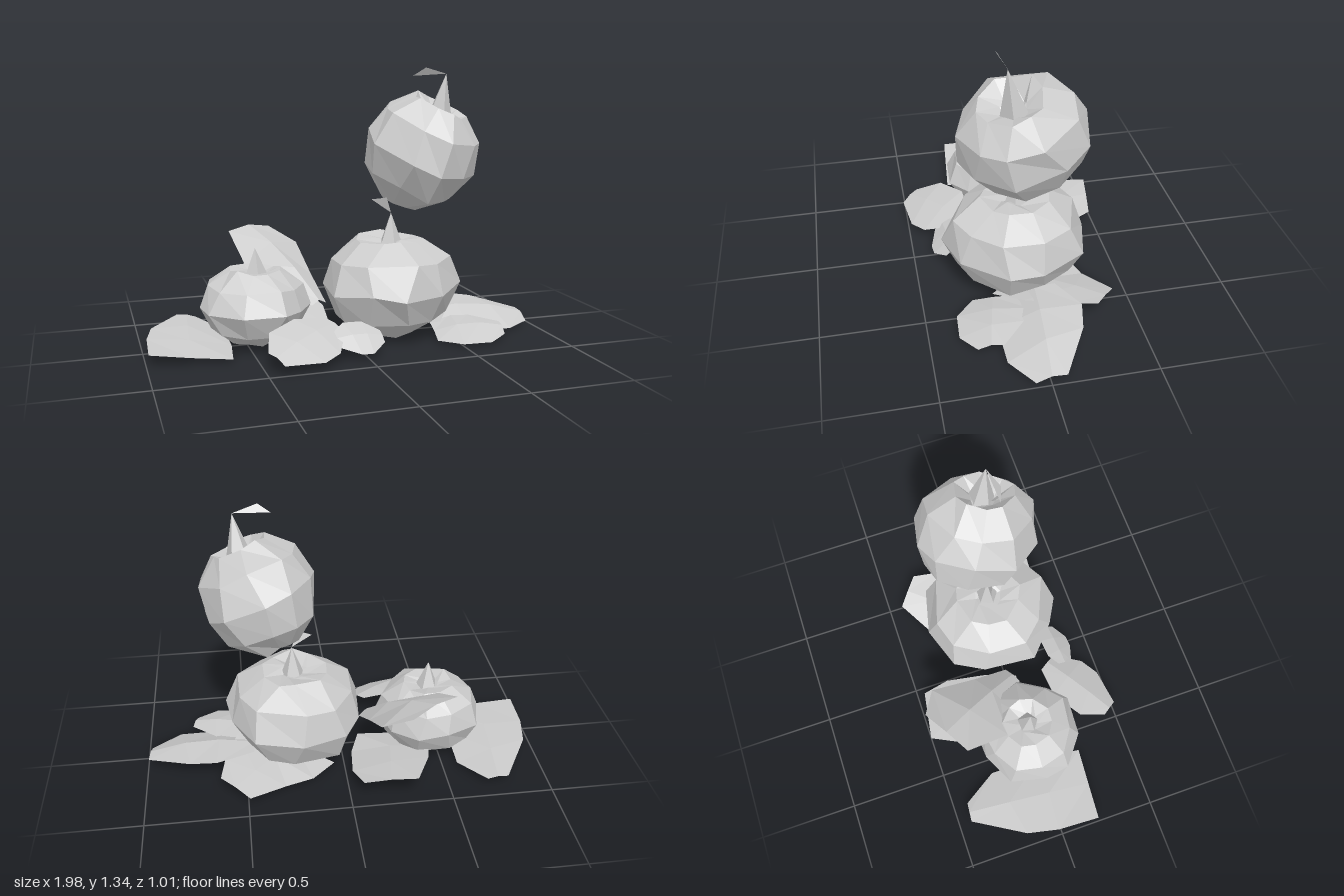
import * as THREE from 'three';

const stone = new THREE.MeshStandardMaterial({ color: 0xcccccc, flatShading: true, side: THREE.DoubleSide });
stone.name = 'pale grey';

const noise = (a, b, seed) => {
  const s = Math.sin(a * 12.99 + b * 78.23 + seed * 37.7) * 43758.55;
  return (s - Math.floor(s)) * 2 - 1;
};

function addMesh(group, name, geometry) {
  const mesh = new THREE.Mesh(geometry, stone);
  mesh.name = name;
  group.add(mesh);
  return mesh;
}

// Height and radius of the body from base to stem seat
const PROFILE = [[0, -0.96], [0.38, -0.95], [0.82, -0.58], [1.02, 0], [0.87, 0.56], [0.48, 0.94]];

// Faceted, slightly irregular lobed body; dimple is the height of the stem seat
function pumpkinBody([rx, ry, rz], dimple, seed) {
  const sides = 10;
  const profile = [...PROFILE, [0.2, dimple + 0.04], [0, dimple]];
  const geo = new THREE.LatheGeometry(profile.map(([r, y]) => new THREE.Vector2(r, y)), sides);
  const p = geo.attributes.position;
  const rows = profile.length;
  for (let k = 0; k < p.count; k++) {
    const row = k % rows, col = Math.floor(k / rows) % sides;
    const inner = row > 0 && row < rows - 1;
    const a = (col + (inner ? noise(col, row, seed) * 0.2 : 0)) / sides * Math.PI * 2;
    const r = profile[row][0] * (1 + (col % 2 ? -0.03 : 0.02) + noise(row, col, seed + 5) * 0.03);
    const y = profile[row][1] + (inner ? noise(col + 3, row, seed + 9) * 0.05 : 0);
    p.setXYZ(k, Math.sin(a) * r * rx, y * ry, Math.cos(a) * r * rz);
  }
  geo.computeVertexNormals();
  return geo;
}

function facets(points, index) {
  const geo = new THREE.BufferGeometry();
  geo.setAttribute('position', new THREE.Float32BufferAttribute(points.flat(), 3));
  geo.setIndex(index);
  geo.computeVertexNormals();
  return geo;
}

// Pointed five-sided stalk, optionally with a thin bent tip
function addStem(group, { seat, radius, tip, curl }) {
  const points = [tip], index = [];
  for (let i = 0; i < 5; i++) {
    const a = i / 5 * Math.PI * 2 + 0.3;
    points.push([seat[0] + Math.cos(a) * radius, seat[1], seat[2] + Math.sin(a) * radius]);
    index.push(0, 1 + (i + 1) % 5, 1 + i);
  }
  addMesh(group, 'stem', facets(points, index));
  if (curl) addMesh(group, 'stemTip', facets([tip, ...curl], [0, 1, 2]));
}

// Leaf swept from root to tip: each section has two edges and an arched middle rib
function leafGeometry({ root, tip, widths, roll, arch }) {
  const a = new THREE.Vector3(...root), b = new THREE.Vector3(...tip);
  const along = b.clone().sub(a);
  const side = new THREE.Vector3(-along.z, 0, along.x).normalize().setY(roll);
  const points = [], index = [];
  widths.forEach((w, i) => {
    const t = i / (widths.length - 1);
    for (const s of [-1, 0, 1]) {
      // outer edges are swept unevenly, giving the leaf its lobes
      const sweep = i === 2 ? t + 0.08 * s : t;
      const q = a.clone().lerp(b, sweep).addScaledVector(side, s * w);
      q.y += arch * (s ? 0 : 0.35 + Math.sin(t * Math.PI) * 0.65);
      points.push([q.x, Math.max(q.y, 0.012), q.z]);
    }
    if (i === 0) return;
    for (let s = 0; s < 2; s++) {
      const n = i * 3 + s;
      index.push(n - 3, n - 2, n, n - 2, n + 1, n);
    }
  });
  return facets(points, index);
}

const pumpkins = [
  { name: 'largePumpkin', at: [0.23, 0.255, 0.01], size: [0.345, 0.255, 0.35], dimple: 0.82, tilt: [0, 0, 0],
    stem: { seat: [0.24, 0.46, 0.005], radius: 0.06, tip: [0.24, 0.62, 0.01], curl: [[0.21, 0.7, 0.03], [0.14, 0.69, 0]] } },
  { name: 'smallPumpkin', at: [-0.46, 0.195, -0.01], size: [0.265, 0.19, 0.265], dimple: 0.8, tilt: [0, 0.3, -0.03],
    stem: { seat: [-0.45, 0.34, -0.01], radius: 0.06, tip: [-0.455, 0.48, 0] } },
  { name: 'topPumpkin', at: [0.39, 0.92, 0.01], size: [0.285, 0.275, 0.31], dimple: 0.68, tilt: [0.3, 0, -0.32],
    stem: { seat: [0.465, 1.08, 0.06], radius: 0.07, tip: [0.49, 1.31, 0.1], curl: [[0.37, 1.34, 0.13], [0.31, 1.3, 0.11]] } },
];

// widths are half-widths from root to tip
const leaves = [
  { name: 'rightSideLeaf', root: [-0.8, 0.025, 0.22], tip: [-0.74, 0.05, -0.43], widths: [0.19, 0.2, 0.18, 0.05], roll: -0.17, arch: 0.02 },
  { name: 'frontLeaf', root: [-0.12, 0.13, 0.23], tip: [-0.46, 0.07, 0.47], widths: [0.06, 0.14, 0.14, 0.05], roll: 0.4, arch: 0.03 },
  { name: 'frontLeaflet', root: [0.09, 0.08, 0.31], tip: [-0.14, 0.09, 0.33], widths: [0.03, 0.08, 0.08, 0.04], roll: 0.7, arch: 0.02 },
  { name: 'raisedBackLeaf', root: [-0.14, 0.18, 0.02], tip: [-0.4, 0.5, -0.42], widths: [0.05, 0.12, 0.22, 0.14], roll: -0.03, arch: 0.06 },
  { name: 'lowBackLeaf', root: [-0.27, 0.015, 0.03], tip: [-0.19, 0.13, -0.48], widths: [0.17, 0.2, 0.19, 0.13], roll: -0.13, arch: 0.02 },
  { name: 'leftSideLeaf', root: [0.45, 0.07, -0.04], tip: [0.99, 0.025, 0], widths: [0.1, 0.2, 0.18, 0.07], roll: -0.32, arch: 0.06 },
  { name: 'frontLeftLeaf', root: [0.42, 0.02, 0.16], tip: [0.76, 0.04, 0.23], widths: [0.1, 0.17, 0.15, 0.06], roll: -0.25, arch: 0.04 },
  { name: 'backLeftLeaf', root: [0.25, 0.015, 0], tip: [0.56, 0.07, -0.37], widths: [0.26, 0.24, 0.16, 0.09], roll: 0.25, arch: 0.02 },
];

export function createModel() {
  const model = new THREE.Group();
  model.name = 'pumpkinPatch';
  pumpkins.forEach((p, i) => {
    const group = new THREE.Group();
    group.name = p.name;
    const body = addMesh(group, 'body', pumpkinBody(p.size, p.dimple, i + 1));
    body.position.set(...p.at);
    body.rotation.set(...p.tilt);
    addStem(group, p.stem);
    model.add(group);
  });
  for (const leaf of leaves) addMesh(model, leaf.name, leafGeometry(leaf));
  return model;
}
